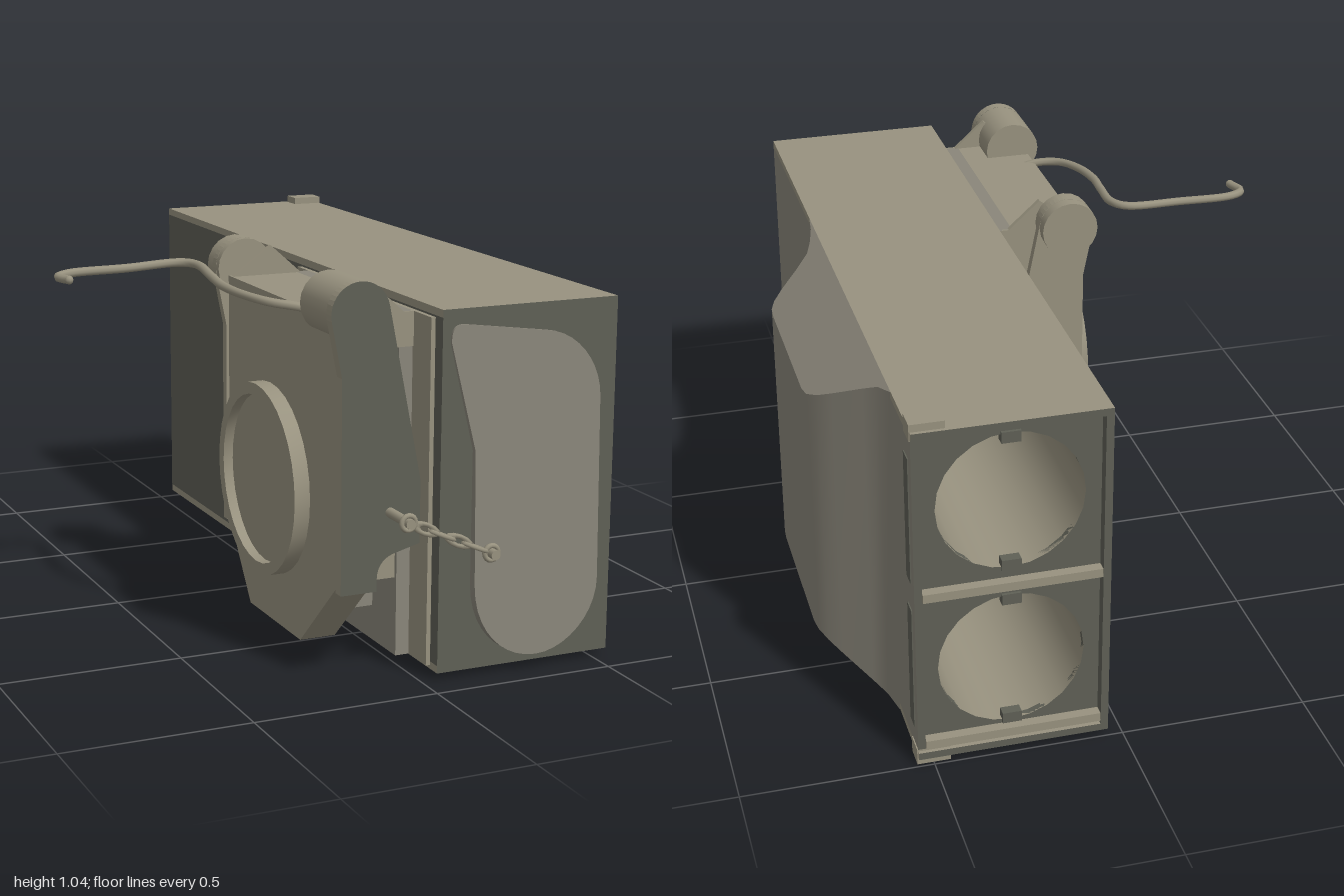
import * as THREE from 'three';
import { toCreasedNormals } from 'three/addons/utils/BufferGeometryUtils.js';

const mat = (name, color, side = THREE.FrontSide) => {
  const m = new THREE.MeshStandardMaterial({ color, side });
  m.name = name;
  return m;
};

export function createModel() {
  const group = new THREE.Group();
  const khaki = mat('khaki', 0x98927f, THREE.DoubleSide);
  const grey = mat('warmGrey', 0x8a867a);
  const dark = mat('darkOlive', 0x5f6056);

  const add = (name, geo, material) => {
    const m = new THREE.Mesh(geo, material);
    m.name = name;
    group.add(m);
    return m;
  };
  // Box given by its limits on each axis
  const box = (name, x0, x1, y0, y1, z0, z1, material) => {
    const g = new THREE.BoxGeometry(x1 - x0, y1 - y0, z1 - z0);
    g.translate((x0 + x1) / 2, (y0 + y1) / 2, (z0 + z1) / 2);
    return add(name, g, material);
  };
  const extrude = (shape, depth, segs = 10) =>
    new THREE.ExtrudeGeometry(shape, { depth, bevelEnabled: false, curveSegments: segs });
  const polygon = (pts) => new THREE.Shape(pts.map(([x, y]) => new THREE.Vector2(x, y)));
  // Cylinder along z
  const rod = (name, x, y, z0, z1, r, material, segs = 20) => {
    const g = new THREE.CylinderGeometry(r, r, z1 - z0, segs).rotateX(Math.PI / 2);
    g.translate(x, y, (z0 + z1) / 2);
    return add(name, g, material);
  };

  // Casing: four walls and a front, with dark ends
  const ends = [khaki, khaki, khaki, khaki, dark, dark];
  box('topWall', 0.04, 0.54, 0.945, 0.965, -1, 0.92, ends);
  box('bottomWall', 0.04, 0.54, 0.02, 0.04, -1, 0.92, ends);
  box('outerWall', 0.52, 0.54, 0.04, 0.945, -0.99, 0.92, [grey, dark, khaki, khaki, dark, dark]);
  box('innerWall', 0.04, 0.06, 0.04, 0.945, -1, 0.92, dark);
  box('frontWall', 0.06, 0.52, 0.04, 0.945, 0.9, 0.92, dark);

  // Side bulge: sections along z, chamfered at top and bottom
  const sections = [[0.3, 0.541], [0.24, 0.548], [0.18, 0.562], [0.13, 0.58], [0.09, 0.62],
    [0.05, 0.668], [0.02, 0.695], [-0.01, 0.707], [-0.05, 0.71], [-0.48, 0.71], [-0.52, 0.705],
    [-0.56, 0.685], [-0.6, 0.655], [-0.68, 0.59], [-0.72, 0.56], [-0.78, 0.541]];
  const pos = [], index = [];
  sections.forEach(([z, x], i) => {
    const c = 0.706 * (x - 0.54);
    pos.push(0.54, 0.965, z, x, 0.965 - c, z, x, 0.02 + c, z, 0.54, 0.02, z);
    if (i === 0) return;
    for (let k = 0; k < 3; k++) {
      const a = (i - 1) * 4 + k, b = i * 4 + k;
      index.push(a + 1, b + 1, b, a + 1, b, a);
    }
  });
  const bulge = new THREE.BufferGeometry();
  bulge.setAttribute('position', new THREE.Float32BufferAttribute(pos, 3));
  bulge.setIndex(index);
  add('sideBulge', toCreasedNormals(bulge, 0.35), grey);

  // Rear bulkhead with two tubes
  const bulkhead = polygon([[0.06, 0.04], [0.52, 0.04], [0.52, 0.945], [0.06, 0.945]]);
  for (const y of [0.27, 0.73]) {
    bulkhead.holes.push(new THREE.Path().absarc(0.29, y, 0.19, 0, Math.PI * 2, true));
    const tube = new THREE.CylinderGeometry(0.19, 0.19, 1.0, 24, 1, true).rotateX(Math.PI / 2);
    add('launchTube', tube.translate(0.29, y, -0.47), khaki);
    const end = new THREE.CircleGeometry(0.19, 24).rotateY(Math.PI);
    add('tubeEnd', end.translate(0.29, y, 0.03), khaki);
    for (const s of [-1, 1])
      box('tubeNotch', 0.265, 0.315, y + s * 0.18 - 0.015, y + s * 0.18 + 0.015, -0.978, -0.95, dark);
  }
  add('rearBulkhead', extrude(bulkhead, 0.02, 12).translate(0, 0, -0.97), dark);
  for (const y of [0.06, 0.5]) box('rearRib', 0.06, 0.52, y - 0.012, y + 0.012, -0.998, -0.96, khaki);

  // Rear corner tabs and side slots
  box('topTab', 0.455, 0.543, 0.94, 0.985, -0.99, -0.93, khaki);
  box('bottomTab', 0.455, 0.543, 0, 0.045, -0.99, -0.93, khaki);
  for (const y of [0.1, 0.53]) box('sideSlot', 0.538, 0.543, y, y + 0.35, -0.965, -0.92, dark);

  // Rounded front cover, leaning back slightly
  const cover = new THREE.Shape();
  cover.moveTo(0.062, 0.88);
  cover.quadraticCurveTo(0.06, 0.93, 0.1, 0.925);
  cover.lineTo(0.33, 0.893);
  cover.bezierCurveTo(0.42, 0.885, 0.49, 0.8, 0.49, 0.71);
  cover.lineTo(0.49, 0.23);
  cover.bezierCurveTo(0.49, 0.13, 0.4, 0.045, 0.31, 0.045);
  cover.bezierCurveTo(0.21, 0.045, 0.13, 0.13, 0.13, 0.25);
  cover.lineTo(0.13, 0.6);
  const coverGeo = toCreasedNormals(extrude(cover, 0.03), 0.5);
  add('frontCover', coverGeo.rotateX(-0.028).translate(0, 0, 0.922), grey);

  // Side mount: backing strips, body and cut-corner plate
  box('mountRail', 0.028, 0.04, 0.03, 0.94, 0.06, 0.88, khaki);
  box('mountBacking', -0.01, 0.03, 0.03, 0.94, 0.13, 0.78, grey);
  box('mountBody', -0.105, -0.01, 0.24, 0.94, 0.14, 0.77, khaki);
  box('mountFoot', -0.105, -0.01, 0.125, 0.24, 0.25, 0.64, grey);
  const plate = polygon([[-0.61, 0.045], [-0.27, 0.045], [-0.12, 0.25], [-0.12, 0.94],
    [-0.83, 0.94], [-0.83, 0.25]]);
  add('mountPlate', extrude(plate, 0.1).rotateY(Math.PI / 2).translate(-0.205, 0, 0), khaki);
  const cheek = polygon([[-0.2, 0.85], [0.035, 0.85], [0.035, 0.94], [0, 0.94], [-0.09, 1.02], [-0.2, 0.94]]);
  for (const z of [0.13, 0.77]) add('mountCheek', extrude(cheek, 0.015).translate(0, 0, z), khaki);

  // Round flange with a raised rim
  const rim = [[0, 0], [0.26, 0], [0.26, 0.045], [0.228, 0.045], [0.228, 0.018], [0, 0.018]]
    .map(([r, h]) => new THREE.Vector2(r, h));
  const flange = toCreasedNormals(new THREE.LatheGeometry(rim, 32), 0.5);
  add('roundFlange', flange.rotateZ(Math.PI / 2).translate(-0.203, 0.44, 0.41), khaki);

  // Hinge arms with rounded heads
  const arm = new THREE.Shape();
  arm.moveTo(-0.205, 0.24);
  arm.lineTo(-0.205, 0.8);
  arm.lineTo(-0.234, 0.945);
  arm.absarc(-0.155, 0.96, 0.08, Math.PI * 1.05, 0.2, true);
  arm.lineTo(0.015, 0.52);
  arm.lineTo(0.015, 0.355);
  arm.lineTo(-0.06, 0.335);
  arm.quadraticCurveTo(-0.105, 0.32, -0.105, 0.27);
  arm.lineTo(-0.105, 0.24);
  add('frontArm', extrude(arm, 0.03).translate(0, 0, 0.83), [dark, khaki]);
  add('rearArm', extrude(arm, 0.025).translate(0, 0, 0.075), [khaki, khaki]);
  rod('frontHingeKnob', -0.155, 0.96, 0.67, 0.85, 0.08, khaki);
  rod('rearHingeKnob', -0.155, 0.96, 0.04, 0.12, 0.08, khaki);

  // Bent wire handle
  const wire = [[-0.69, 0.975, 0.205], [-0.703, 0.975, 0.15], [-0.66, 0.977, 0.117], [-0.5, 0.979, 0.113],
    [-0.345, 0.984, 0.11], [-0.312, 0.983, 0.15], [-0.318, 0.97, 0.28], [-0.326, 0.962, 0.38],
    [-0.31, 0.955, 0.49], [-0.27, 0.947, 0.57], [-0.2, 0.935, 0.605], [-0.1, 0.9, 0.61]]
    .map((p) => new THREE.Vector3(...p));
  add('wireHandle', new THREE.TubeGeometry(new THREE.CatmullRomCurve3(wire), 70, 0.012, 8), khaki);
  const tip = new THREE.SphereGeometry(0.012, 8, 6);
  add('handleTip', tip.translate(-0.69, 0.975, 0.205), khaki);

  // Retaining chain between two pins
  const from = [-0.07, 0.445], to = [0.165, 0.34];
  const angle = Math.atan2(to[1] - from[1], to[0] - from[0]);
  rod('armPin', from[0], from[1], 0.86, 0.98, 0.013, khaki, 12);
  rod('coverPin', to[0], to[1], 0.935, 0.99, 0.013, khaki, 12);
  for (const [x, y] of [from, to])
    add('chainRing', new THREE.TorusGeometry(0.019, 0.007, 8, 16).translate(x, y, 0.965), khaki);
  for (let i = 0; i < 4; i++) {
    const t = 0.2 + i * 0.2;
    const link = new THREE.TorusGeometry(0.012, 0.006, 6, 12).scale(2.5, 1, 1);
    if (i % 2) link.rotateX(Math.PI / 2);
    link.rotateZ(angle);
    link.translate(from[0] + (to[0] - from[0]) * t, from[1] + (to[1] - from[1]) * t, 0.965);
    add('chainLink', link, khaki);
  }
  return group;
}
